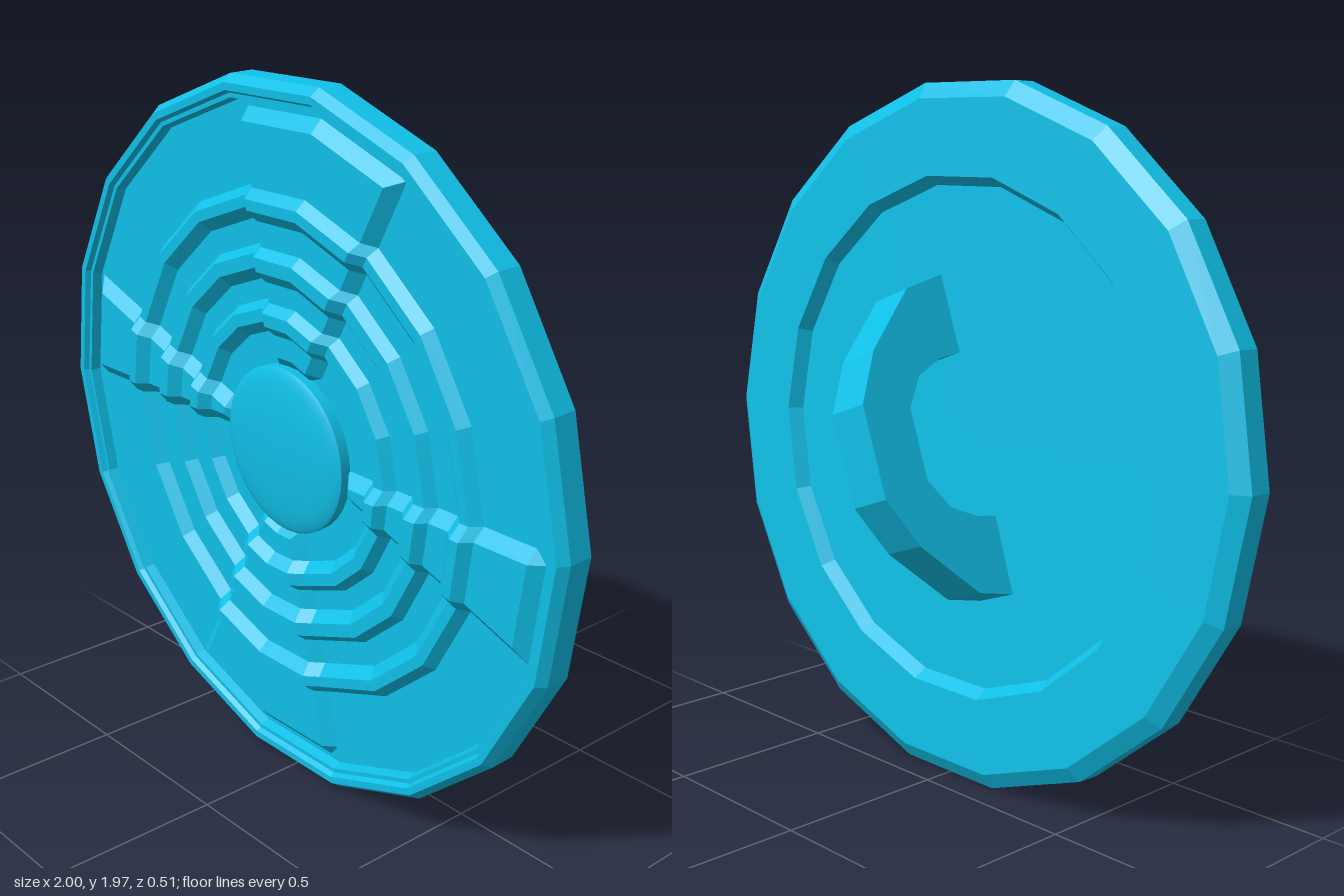
import * as THREE from 'three';

const SIDES = 18, STEP = Math.PI * 2 / SIDES;
const BASE = 0.02, RAISE = 0.03, RIDGE = 0.028;
const rad = THREE.MathUtils.degToRad;

// Radius of the 18-sided outline at angle a, relative to its corners
function polygon(a) {
  const t = ((a % STEP) + STEP) % STEP - STEP / 2;
  return Math.cos(STEP / 2) / Math.cos(t);
}

// Sculpted front: concentric ridges crossed by four raised wedges
function faceGeometry() {
  // [radius, height above base, wedge amount]
  const stations = [[0.935, 0, 0], [0.92, 0, 0], [0.885, 0, 1]];
  for (const [o, a, b, i] of [[0.715, 0.69, 0.66, 0.628], [0.56, 0.538, 0.5, 0.468], [0.412, 0.39, 0.355, 0.326]]) {
    stations.push([o, 0, 1], [a, RIDGE, 1], [b, RIDGE, 1], [i, 0, 1]);
  }
  stations.push([0.265, 0, 1], [0.23, 0, 0], [0.1, 0, 0]);

  // Columns: regular corners, plus the top edge of each wedge side
  const wedges = [[60, 100], [160, 180], [240, 280], [340, 360]];
  const columns = [];
  for (let d = 0; d <= 360; d += 20) {
    const start = wedges.find(w => w[0] === d);
    const end = wedges.find(w => w[1] === d);
    const inside = wedges.some(w => d > w[0] && d < w[1]);
    if (end) columns.push({ d, shift: -1, on: 1 });
    columns.push({ d, shift: 0, on: inside ? 1 : 0 });
    if (start) columns.push({ d, shift: 1, on: 1 });
  }

  const positions = [], index = [];
  for (const [r, h, w] of stations) {
    for (const c of columns) {
      const a = rad(c.d) + c.shift * Math.min(0.035 / r, 0.16);
      const k = r * polygon(a);
      positions.push(k * Math.cos(a), k * Math.sin(a), BASE + h + RAISE * w * c.on);
    }
  }
  const n = columns.length;
  for (let i = 0; i < stations.length - 1; i++) {
    for (let j = 0; j < n - 1; j++) {
      const a = i * n + j, b = a + 1, c = b + n, d = a + n;
      index.push(a, b, c, a, c, d);
    }
  }
  const g = new THREE.BufferGeometry();
  g.setAttribute('position', new THREE.Float32BufferAttribute(positions, 3));
  g.setIndex(index);
  const flat = g.toNonIndexed();
  flat.computeVertexNormals();
  return flat;
}

// Turn a profile of [radius, z] points around the z axis
function turned(points, sides) {
  const g = new THREE.LatheGeometry(points.map(p => new THREE.Vector2(...p)), sides, Math.PI / 2);
  return g.rotateX(Math.PI / 2);
}

export function createModel() {
  const model = new THREE.Group();
  model.name = 'roundShield';
  const color = 0x10c0e8;
  const flat = new THREE.MeshStandardMaterial({ color, flatShading: true });
  const smooth = new THREE.MeshStandardMaterial({ color });
  const add = (parent, name, geometry, material) => {
    const mesh = new THREE.Mesh(geometry, material);
    mesh.name = name;
    parent.add(mesh);
    return mesh;
  };

  // Disc, leaning slightly forward at the top
  const disc = new THREE.Group();
  disc.name = 'disc';
  disc.position.set(0, 0.985, 0.157);
  disc.rotation.x = 0.033;
  model.add(disc);

  // Recessed back, bevelled edge and stepped front rim
  add(disc, 'rimAndBack', turned([
    [0, -0.025], [0.715, -0.025], [0.74, -0.064], [0.955, -0.064], [1, -0.035],
    [1, 0.035], [0.98, 0.062], [0.96, 0.062], [0.952, 0.048], [0.94, 0.048], [0.933, BASE],
  ], SIDES), flat);

  add(disc, 'frontFace', faceGeometry(), flat);

  // Shallow domed boss
  const dome = [[0.235, 0.01], [0.235, 0.05]];
  for (let i = 1; i <= 6; i++) {
    const a = i / 6 * Math.PI / 2;
    dome.push([0.232 * Math.cos(a), 0.05 + 0.026 * Math.sin(a)]);
  }
  add(disc, 'bossSide', turned(dome.slice(0, 2), 36), smooth);
  add(disc, 'bossDome', turned(dome.slice(1), 36), smooth);

  // Arched grip on the back: half profile as [along, height behind], mirrored
  const outer = [[0.13, 0.25], [0.27, 0.17], [0.43, 0], [0.462, -0.14]];
  const inner = [[0.235, -0.14], [0.225, -0.06], [0.185, 0.03], [0.1, 0.09]];
  const half = [...outer, ...inner];
  const mirrored = half.map(([s, u]) => [-s, u]).reverse();
  const shape = new THREE.Shape([...half, ...mirrored].map(p => new THREE.Vector2(...p)));
  const width = 0.135;
  const grip = new THREE.ExtrudeGeometry(shape, { depth: width, bevelEnabled: false });
  grip.translate(0, 0, -width / 2);
  const t = rad(20), s = Math.sin(t), c = Math.cos(t);
  grip.applyMatrix4(new THREE.Matrix4().makeBasis(
    new THREE.Vector3(s, c, 0), new THREE.Vector3(0, 0, -1), new THREE.Vector3(-c, s, 0)));
  add(model, 'handle', grip, flat).position.set(0, 0.985, 0);

  return model;
}
